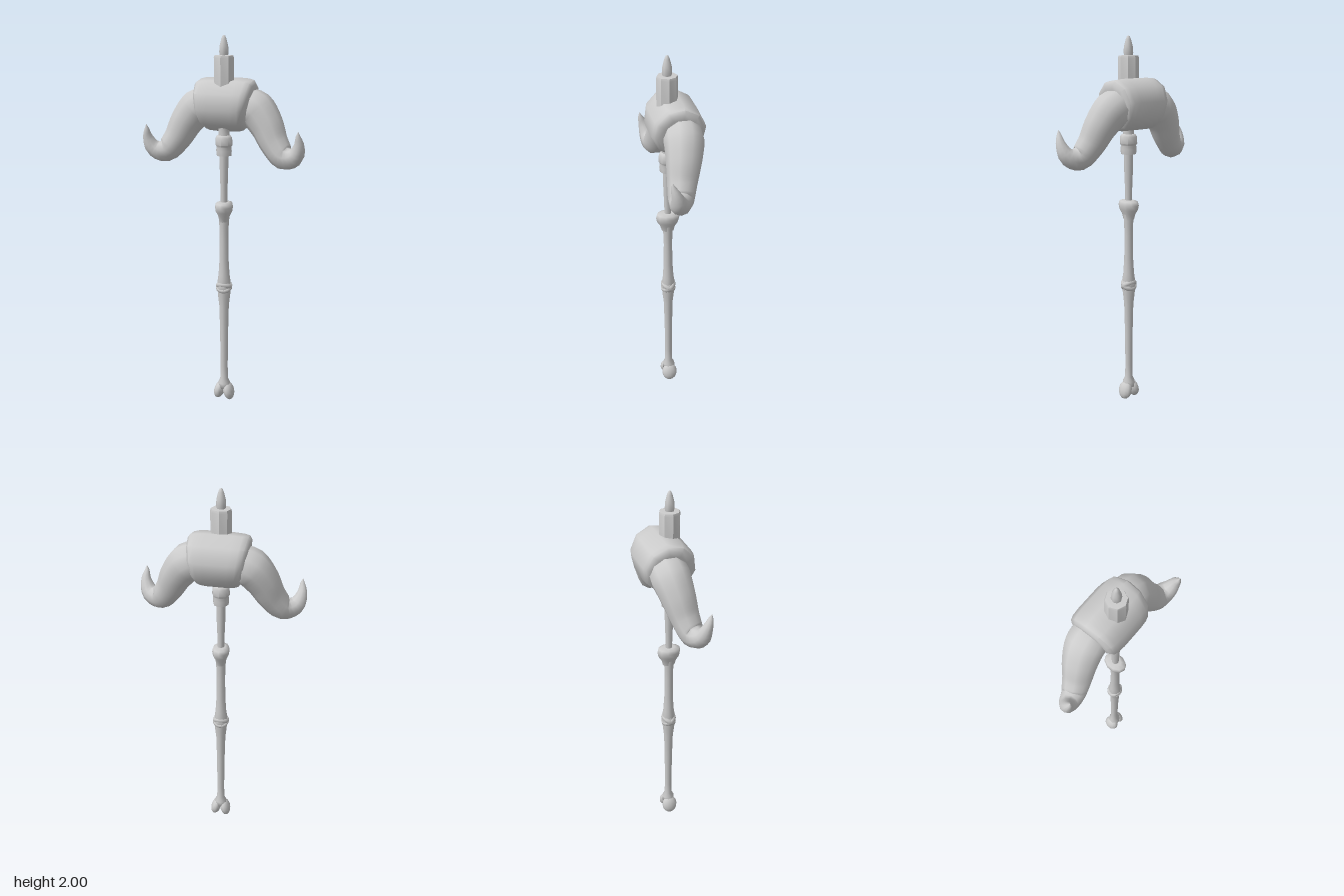
import * as THREE from 'three';
import { mergeVertices, toCreasedNormals } from 'three/addons/utils/BufferGeometryUtils.js';

const AXIS_Z = 0.035;

export function createModel() {
  const model = new THREE.Group();
  const mat = new THREE.MeshStandardMaterial({ color: 0xcccccc, side: THREE.DoubleSide });

  const add = (name, geo, x = 0, y = 0, z = AXIS_Z) => {
    const mesh = new THREE.Mesh(geo, mat);
    mesh.name = name;
    mesh.position.set(x, y, z);
    model.add(mesh);
    return mesh;
  };
  const lathe = (pts, sides) => new THREE.LatheGeometry(pts.map(p => new THREE.Vector2(...p)), sides);

  // Tube through [x, y, z, radius] stations
  function taperedTube(stations, segs, sides) {
    const curve = new THREE.CatmullRomCurve3(stations.map(s => new THREE.Vector3(s[0], s[1], s[2])));
    const geo = new THREE.TubeGeometry(curve, segs, 1, sides);
    const pos = geo.attributes.position, v = new THREE.Vector3();
    for (let i = 0; i <= segs; i++) {
      const centre = curve.getPointAt(i / segs);
      const t = curve.getUtoTmapping(i / segs) * (stations.length - 1);
      const k = Math.min(Math.floor(t), stations.length - 2);
      const r = THREE.MathUtils.lerp(stations[k][3], stations[k + 1][3], t - k);
      for (let j = 0; j <= sides; j++) {
        const n = i * (sides + 1) + j;
        v.fromBufferAttribute(pos, n).sub(centre).multiplyScalar(r).add(centre);
        pos.setXYZ(n, v.x, v.y, v.z);
      }
    }
    geo.deleteAttribute('uv');
    geo.deleteAttribute('normal');
    const merged = mergeVertices(geo);
    merged.computeVertexNormals();
    return merged;
  }

  // Bone handle, swelling toward the binding and the upper joint
  add('handle', lathe([[0, 0.06], [0.035, 0.07], [0.034, 0.1], [0.022, 0.125], [0.02, 0.2], [0.022, 0.4],
    [0.026, 0.56], [0.034, 0.63], [0.036, 0.7], [0.03, 0.74], [0.025, 0.82], [0.023, 0.95],
    [0.026, 1.04], [0.03, 1.07]], 10));

  // Knuckles at the foot
  for (const side of [-1, 1]) {
    const knuckle = add('knuckle', new THREE.SphereGeometry(1, 12, 8), side * 0.027, 0.051);
    knuckle.scale.set(0.029, 0.052, 0.044);
    knuckle.rotation.z = side * 0.25;
  }

  // Joint, wider front to back
  const joint = add('joint', lathe([[0.024, 1.04], [0.03, 1.07], [0.042, 1.095], [0.046, 1.12],
    [0.042, 1.14], [0.024, 1.146], [0, 1.146]], 10));
  joint.scale.z = 1.38;

  // Crossed binding around the handle
  const knot = add('bindingCore', new THREE.SphereGeometry(1, 10, 8), 0, 0.672);
  knot.scale.set(0.04, 0.055, 0.038);
  for (const side of [-1, 1]) {
    const strap = add('bindingStrap', new THREE.TorusGeometry(0.036, 0.01, 6, 16), 0, 0.672);
    strap.rotation.x = Math.PI / 2 + side * 0.6;
    strap.scale.z = 1.4;
  }

  // Upper rod and collar under the head
  add('upperRod', lathe([[0.018, 1.13], [0.019, 1.2], [0.023, 1.3], [0.025, 1.4], [0.026, 1.56]], 8));
  add('collar', toCreasedNormals(lathe([[0.024, 1.394], [0.04, 1.394], [0.043, 1.42], [0.04, 1.44], [0.046, 1.45],
    [0.045, 1.485], [0.037, 1.498], [0.03, 1.5], [0.03, 1.54]], 8), 0.9));

  // Barrel-shaped head lying along x, narrower underneath
  const headGeo = lathe([[0, -0.155], [0.085, -0.16], [0.11, -0.156], [0.127, -0.142], [0.134, -0.115], [0.137, -0.07],
    [0.137, 0.07], [0.134, 0.115], [0.127, 0.142], [0.11, 0.156], [0.085, 0.16], [0, 0.155]], 10);
  headGeo.rotateZ(-Math.PI / 2).rotateX(0.15);
  const hp = headGeo.attributes.position;
  for (let i = 0; i < hp.count; i++) hp.setX(i, hp.getX(i) * (0.87 + hp.getY(i) * 1.12));
  add('head', toCreasedNormals(headGeo, 0.9), 0, 1.653, 0);

  // Curled horns
  const horn = [[0.08, 1.655, -0.015, 0.09], [0.155, 1.63, -0.012, 0.1], [0.215, 1.56, 0.002, 0.088],
    [0.267, 1.465, 0.022, 0.073], [0.325, 1.402, 0.042, 0.062], [0.383, 1.415, 0.06, 0.047],
    [0.408, 1.475, 0.08, 0.027], [0.406, 1.525, 0.097, 0.011], [0.407, 1.545, 0.1, 0.001]];
  for (const side of [-1, 1]) {
    add(side > 0 ? 'leftHorn' : 'rightHorn',
      taperedTube(horn.map(([x, y, z, r]) => [side * x, y, z, r]), 28, 10), 0, 0, 0);
  }

  // Octagonal post with a pointed tip on top
  add('post', toCreasedNormals(lathe([[0, 1.7], [0.053, 1.7], [0.054, 1.888], [0.05, 1.9], [0, 1.903]], 8), 0.7));
  add('tip', lathe([[0.02, 1.89], [0.025, 1.915], [0.023, 1.945], [0.014, 1.98], [0.007, 1.996], [0, 2]], 8));

  return model;
}
